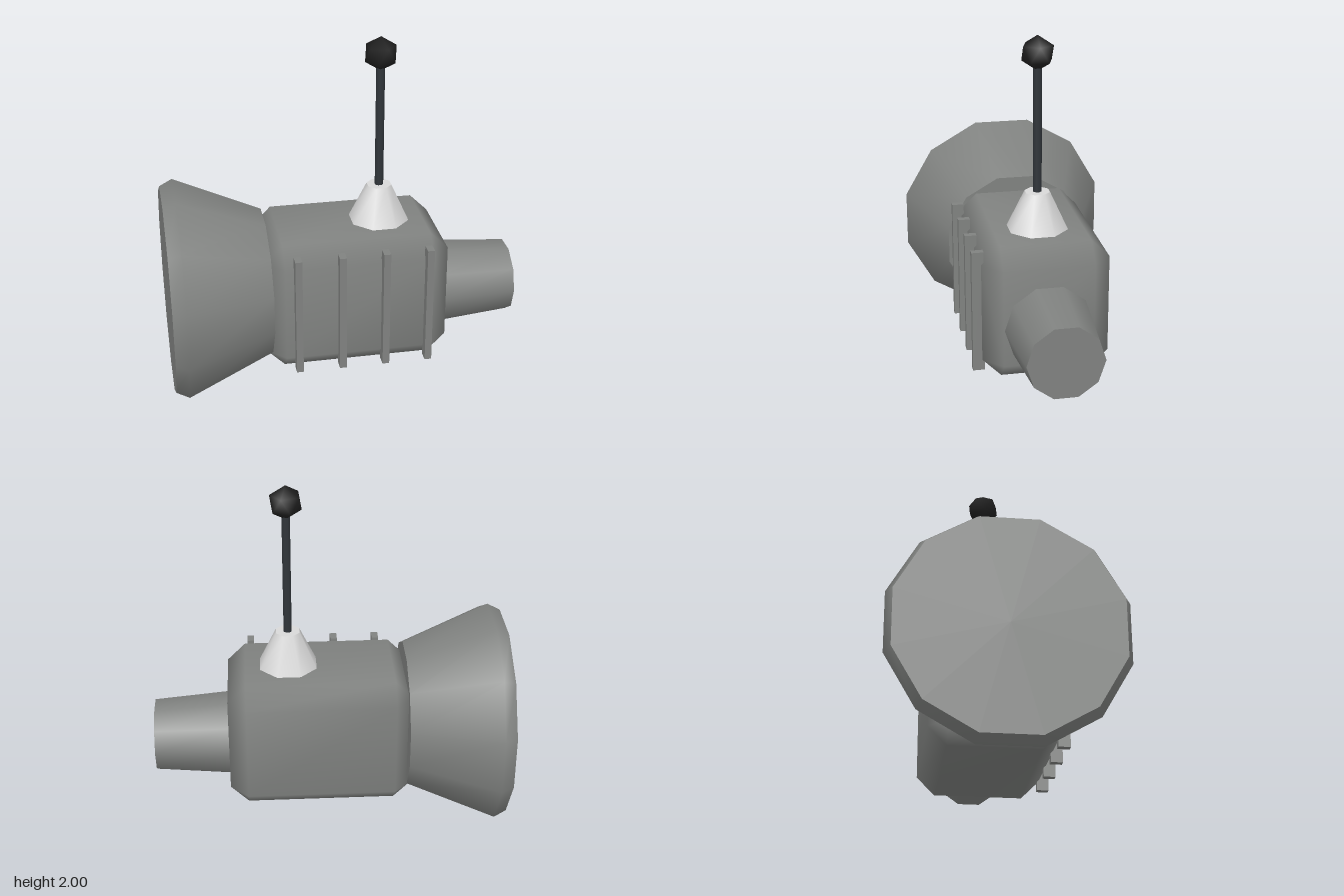
import * as THREE from 'three';
import { mergeVertices } from 'three/addons/utils/BufferGeometryUtils.js';
import { ConvexGeometry } from 'three/addons/geometries/ConvexGeometry.js';

const material = (name, color) => {
  const m = new THREE.MeshStandardMaterial({ color });
  m.name = name;
  return m;
};

// Shares vertices so the normals blend across all faces
function smooth(geometry) {
  geometry.deleteAttribute('normal');
  geometry.deleteAttribute('uv');
  const merged = mergeVertices(geometry, 1e-4);
  merged.computeVertexNormals();
  return merged;
}

// Solid turned around the x axis; repeated points make a sharp edge
function turnedX(profile, sides, start) {
  const points = profile.map(([x, r]) => new THREE.Vector2(r, x));
  return new THREE.LatheGeometry(points, sides, start).rotateZ(-Math.PI / 2);
}

// Box with a single flat chamfer on every edge
function chamferedBox(w, h, d, c) {
  const points = [];
  for (const sx of [-1, 1]) for (const sy of [-1, 1]) for (const sz of [-1, 1]) {
    for (let axis = 0; axis < 3; axis++) {
      const inset = [c, c, c];
      inset[axis] = 0;
      points.push(new THREE.Vector3(
        sx * (w / 2 - inset[0]), sy * (h / 2 - inset[1]), sz * (d / 2 - inset[2])));
    }
  }
  return smooth(new ConvexGeometry(points));
}

export function createModel() {
  const group = new THREE.Group();
  const grey = material('housing grey', 0x808280);
  const light = material('light grey', 0xd8d8d8);
  const steel = material('dark steel', 0x30353a);
  const black = material('knob black', 0x1e1e1e);

  const add = (name, geometry, mat, x = 0, y = 0, z = 0) => {
    const mesh = new THREE.Mesh(geometry, mat);
    mesh.name = name;
    mesh.position.set(x, y, z);
    group.add(mesh);
  };

  // Flared twelve-sided bell, closed at both ends
  add('bell', turnedX([
    [-0.98, 0], [-0.98, 0.585], [-0.98, 0.585], [-0.91, 0.62],
    [-0.43, 0.414], [-0.43, 0.414], [-0.43, 0],
  ], 12, Math.PI / 12), grey, 0, 0.6);

  // Main housing
  add('body', chamferedBox(1.02, 0.75, 0.69, 0.1), grey, 0.05, 0.565);

  // Tapered nozzle
  add('nozzle', turnedX([
    [0.54, 0], [0.54, 0.242], [0.54, 0.242], [0.975, 0.205], [0.975, 0.205], [0.975, 0],
  ], 10, 0), grey, 0, 0.5);

  // Ribs on the front side
  for (let i = 0; i < 4; i++) {
    add('rib', new THREE.BoxGeometry(0.038, 0.685, 0.065), grey, -0.295 + i * 0.241, 0.568, 0.363);
  }

  // Lever with its octagonal base and knob
  add('leverBase', new THREE.CylinderGeometry(0.07, 0.173, 0.215, 8).rotateY(Math.PI / 8),
    light, 0.22, 1.04);
  add('leverRod', new THREE.CylinderGeometry(0.024, 0.024, 0.74, 8).rotateY(Math.PI / 8),
    steel, 0.22, 1.5);
  const tilt = -Math.atan2(1, (1 + Math.sqrt(5)) / 2);
  add('leverKnob', smooth(new THREE.IcosahedronGeometry(0.095, 0).rotateZ(tilt)),
    black, 0.22, 1.905);

  return group;
}
